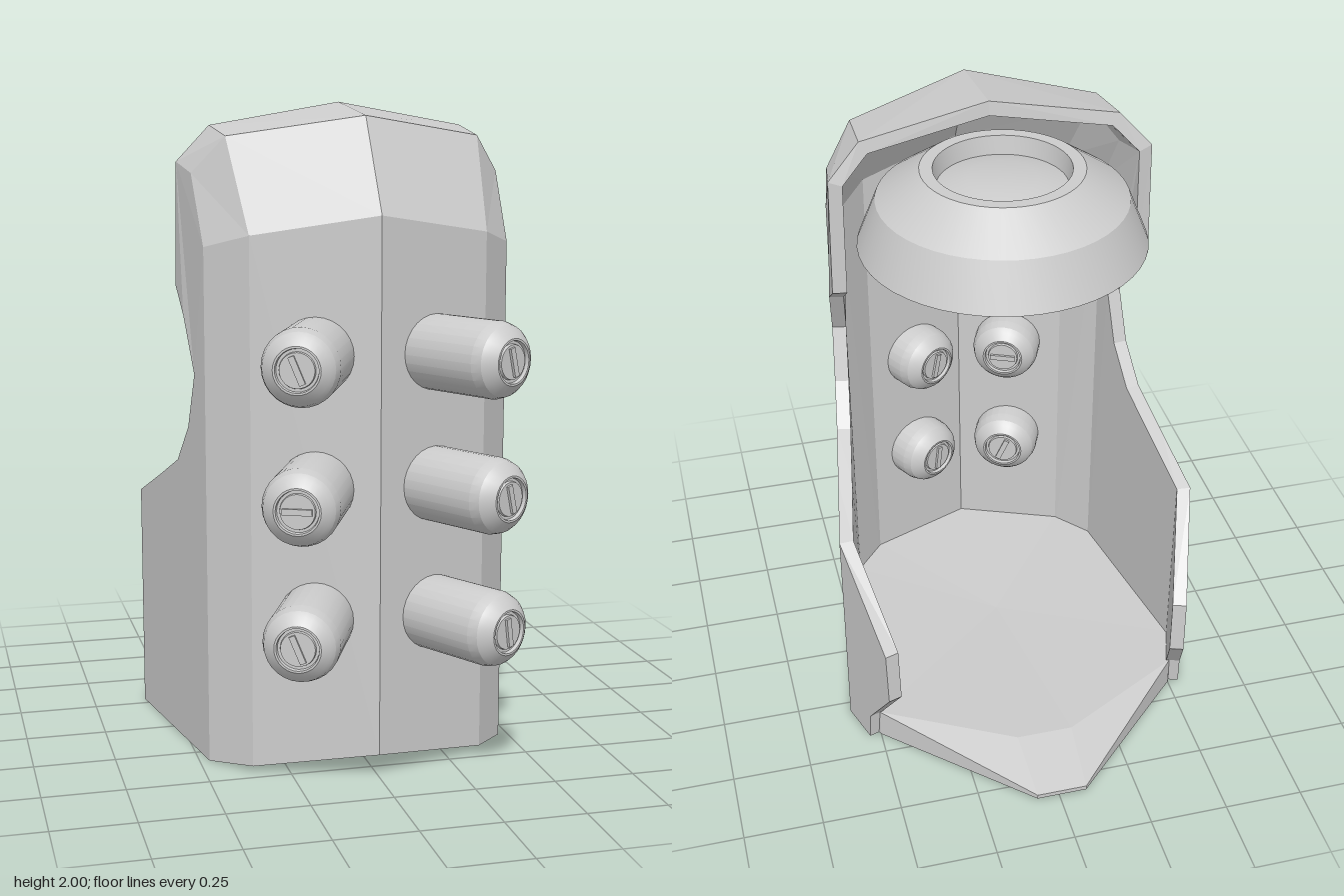
import * as THREE from 'three';
import { toCreasedNormals } from 'three/addons/utils/BufferGeometryUtils.js';

const material = new THREE.MeshStandardMaterial({ color: 0xcccccc });

// Collects triangles together with their mirror images across x = 0
function mirroredSolid() {
  const pos = [];
  const flip = ([x, y, z]) => [-x, y, z];
  return {
    tri(a, b, c) {
      pos.push(...a, ...b, ...c, ...flip(c), ...flip(b), ...flip(a));
    },
    geometry() {
      const g = new THREE.BufferGeometry();
      g.setAttribute('position', new THREE.Float32BufferAttribute(pos, 3));
      g.computeVertexNormals();
      return g;
    },
  };
}

function named(name, geometry) {
  const mesh = new THREE.Mesh(geometry, material);
  mesh.name = name;
  return mesh;
}

// Unit normal of a polygon (Newell's method)
function polygonNormal(points) {
  const n = new THREE.Vector3();
  points.forEach((p, i) => {
    const q = points[(i + 1) % points.length];
    n.x += (p[1] - q[1]) * (p[2] + q[2]);
    n.y += (p[2] - q[2]) * (p[0] + q[0]);
    n.z += (p[0] - q[0]) * (p[1] + q[1]);
  });
  return n.normalize();
}

// Faceted armour shell: outer panels, offset inner panels and a closing rim
function shellGeometry(thickness) {
  const wallX = (z) => (z >= -0.29 ? 0.47 + (0.33 - z) * 0.177 : 0.58 - (-0.29 - z) * 0.33);
  const wall = ([z, y]) => [wallX(z), y, z];
  const points = [
    // centre ridge, bottom to top
    [0, 0.07, 0.59], [0, 1.68, 0.59], [0, 1.96, 0.41], [0, 2, 0.09],
    // front corner column
    [0.36, 0.02, 0.46], [0.36, 1.62, 0.46], [0.39, 1.9, 0.27], [0.4, 1.93, 0.06],
    // side corner column
    [0.47, 0, 0.33], [0.47, 1.58, 0.33], [0.48, 1.79, 0.19], [0.5, 1.82, 0.04],
    // side wall cut-out, from the floor up (12 to 19)
    ...[[-0.29, 0], [-0.29, 0.73], [-0.09, 0.82], [0.08, 0.9],
      [0.18, 1.02], [0.24, 1.19], [0.15, 1.36]].map(wall),
    [0.506, 1.44, 0.04],
    // rear wing (20 to 24)
    ...[[-0.42, 0], [-0.43, 0.1], [-0.56, 0.28], [-0.55, 0.46]].map(wall),
  ];
  const faces = [
    [0, 4, 5, 1], [1, 5, 6, 2], [2, 6, 7, 3],
    [4, 8, 9, 5], [5, 9, 10, 6], [6, 10, 11, 7],
    [8, 12, 13, 14, 15, 16, 17, 18, 19, 11, 10, 9],
    [12, 20, 21, 22, 23, 13],
  ];

  // Inner points: move against the averaged panel normals
  const normals = points.map(() => new THREE.Vector3());
  for (const f of faces) {
    const n = polygonNormal(f.map((i) => points[i]));
    f.forEach((i) => normals[i].add(n));
  }
  const inner = points.map((p, i) => {
    const n = normals[i];
    if (p[0] === 0) n.x = 0;
    n.normalize();
    return [p[0] - n.x * thickness, p[1] - n.y * thickness, p[2] - n.z * thickness];
  });

  const solid = mirroredSolid();
  const edges = new Set();
  for (const f of faces) {
    const flat = f.map((i) => new THREE.Vector2(-points[i][2], points[i][1]));
    const tris = f.length === 4 ? [[0, 1, 2], [0, 2, 3]] : THREE.ShapeUtils.triangulateShape(flat, []);
    for (const t of tris) {
      const [a, b, c] = t.map((k) => f[k]);
      solid.tri(points[a], points[b], points[c]);
      solid.tri(inner[c], inner[b], inner[a]);
    }
    f.forEach((a, k) => edges.add(`${a},${f[(k + 1) % f.length]}`));
  }
  // Rim along every open edge except the mirror line
  for (const e of edges) {
    const [a, b] = e.split(',').map(Number);
    if (edges.has(`${b},${a}`) || (points[a][0] === 0 && points[b][0] === 0)) continue;
    solid.tri(points[b], points[a], inner[a]);
    solid.tri(points[b], inner[a], inner[b]);
  }
  return solid.geometry();
}

// Floor slab with a pointed lip behind
function floorGeometry() {
  const solid = mirroredSolid();
  const under = [[0, 0.07, 0.585], [0.357, 0.02, 0.456], [0.465, 0, 0.328],
    [0.57, 0, -0.29], [0.5, 0, -0.42], [0.08, 0.035, -0.85], [0, 0.035, -0.85]];
  const over = [[0, 0.11, 0.56], [0.345, 0.1, 0.44], [0.45, 0.1, 0.32],
    [0.555, 0.1, -0.29], [0.5, 0.1, -0.42], [0.08, 0.05, -0.85], [0, 0.05, -0.85]];
  const underCentre = [0, 0.03, -0.1];
  const overCentre = [0, 0.085, 0];
  const fold = [0.09, 0.1, -0.64];
  const foldMid = [0, 0.1, -0.64];
  for (let i = 0; i < 6; i++) {
    solid.tri(underCentre, under[i + 1], under[i]);
    solid.tri(under[i], under[i + 1], over[i + 1]);
    solid.tri(under[i], over[i + 1], over[i]);
    if (i < 4) solid.tri(overCentre, over[i], over[i + 1]);
  }
  // Top of the lip, folding down to its tip
  solid.tri(overCentre, over[4], fold);
  solid.tri(overCentre, fold, foldMid);
  solid.tri(fold, over[4], over[5]);
  solid.tri(foldMid, fold, over[5]);
  solid.tri(foldMid, over[5], over[6]);
  return solid.geometry();
}

function lathe(profile, segments) {
  const g = new THREE.LatheGeometry(profile.map(([r, y]) => new THREE.Vector2(r, y)), segments);
  return toCreasedNormals(g, 0.35);
}

// Round peg, domed at both ends, with a ring groove and slot bar on each end
function createPeg(slotAngle) {
  const peg = new THREE.Group();
  peg.name = 'peg';
  const half = [[0.113, 0.165], [0.104, 0.195], [0.092, 0.21], [0.068, 0.228],
    [0.062, 0.228], [0.06, 0.216], [0.052, 0.216], [0.05, 0.224], [0, 0.224]];
  const profile = [...half.map(([r, y]) => [r, -y]).reverse(), ...half];
  peg.add(named('pegBody', lathe(profile, 28).rotateX(Math.PI / 2)));
  for (const end of [-1, 1]) {
    const slot = named('pegSlot', new THREE.BoxGeometry(0.018, 0.085, 0.012));
    slot.position.z = end * 0.226;
    slot.rotation.z = slotAngle;
    peg.add(slot);
  }
  return peg;
}

export function createModel() {
  const model = new THREE.Group();
  model.name = 'armouredPod';
  model.add(named('shell', shellGeometry(0.045)));
  model.add(named('floor', floorGeometry()));

  // Hollow bowl-shaped hood with a recessed crown
  const hood = named('hood', lathe([
    [0, 1.765], [0.11, 1.765], [0.2, 1.74], [0.23, 1.8], [0.365, 1.715], [0.428, 1.58],
    [0.445, 1.58], [0.385, 1.73], [0.25, 1.825], [0.21, 1.825], [0.2, 1.765], [0.11, 1.79], [0, 1.79],
  ], 48));
  hood.position.x = -0.02;
  model.add(hood);

  // Two columns of pegs through the front panels
  const columns = [
    { tip: [0.332, 0.79], angle: 0.5, slots: [0.25, 0.25, 0.15] },
    { tip: [-0.3, 0.8], angle: -0.41, slots: [0.4, Math.PI / 2, 0.4] },
  ];
  for (const { tip, angle, slots } of columns) {
    slots.forEach((slotAngle, row) => {
      const peg = createPeg(slotAngle);
      peg.position.set(tip[0] - Math.sin(angle) * 0.228, 1.275 - row * 0.395, tip[1] - Math.cos(angle) * 0.228);
      peg.rotation.y = angle;
      model.add(peg);
    });
  }
  return model;
}
